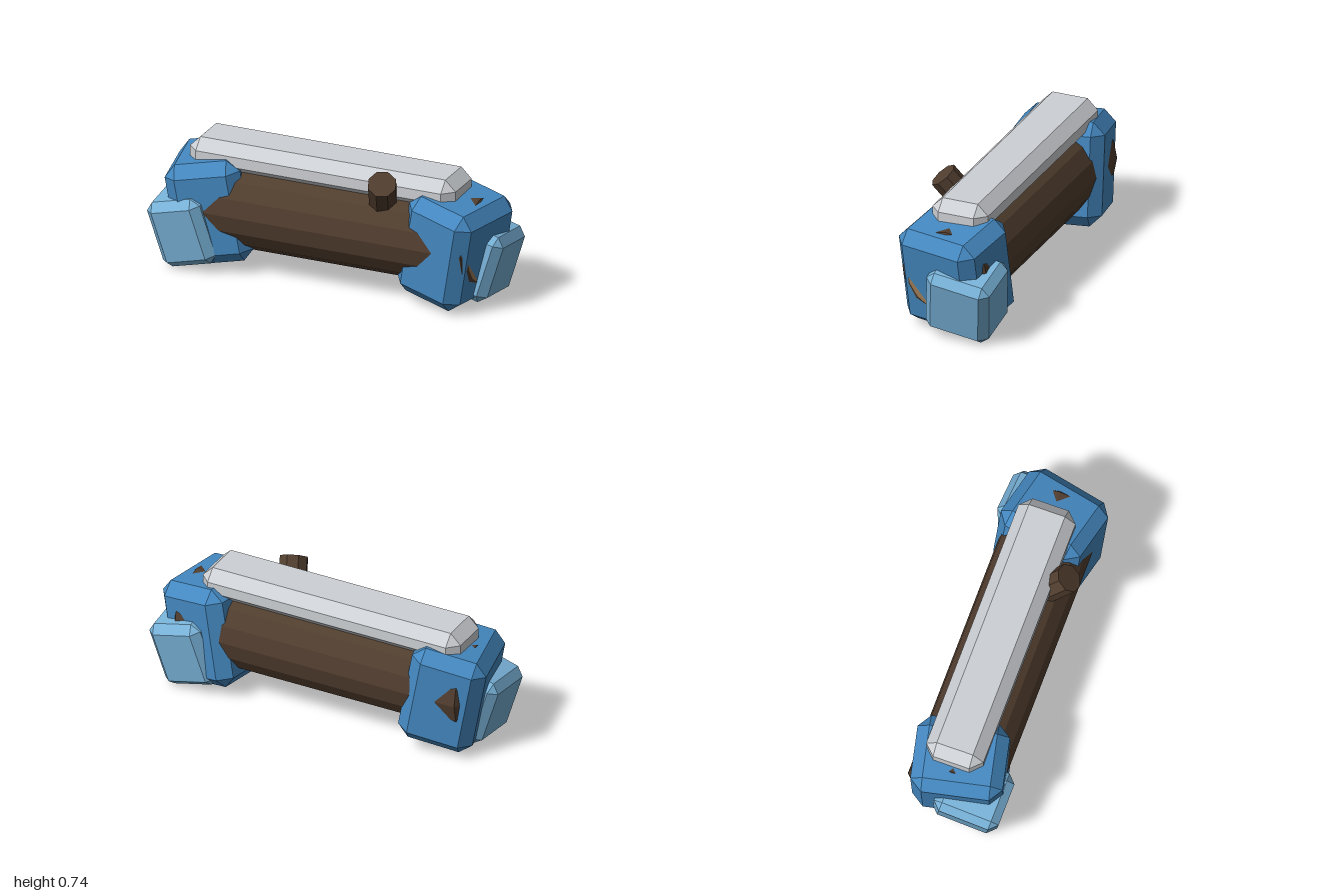
import * as THREE from 'three';
import { ConvexGeometry } from 'three/addons/geometries/ConvexGeometry.js';

const mat = (name, color) => {
  const m = new THREE.MeshStandardMaterial({ color, flatShading: true });
  m.name = name;
  return m;
};

// Box with every edge cut at 45 degrees; a, b, c are half sizes, d the cut
function chamferedBox(a, b, c, d) {
  const points = [];
  for (const x of [-1, 1]) for (const y of [-1, 1]) for (const z of [-1, 1]) {
    points.push(
      new THREE.Vector3(x * a, y * (b - d), z * (c - d)),
      new THREE.Vector3(x * (a - d), y * b, z * (c - d)),
      new THREE.Vector3(x * (a - d), y * (b - d), z * c));
  }
  return new ConvexGeometry(points);
}

export function createModel() {
  const group = new THREE.Group();
  const deg = Math.PI / 180;
  const bark = mat('dark bark', 0x503d2e);
  const wood = mat('cut wood', 0x9c7a56);
  const blue = mat('blue', 0x4488c0);
  const paleBlue = mat('pale blue', 0x78b2d8);
  const grey = mat('light grey', 0xcdd0d4);

  const add = (name, geometry, material, parent = group) => {
    const mesh = new THREE.Mesh(geometry, material);
    mesh.name = name;
    parent.add(mesh);
    return mesh;
  };

  // Log body lying along x, with bevelled ends
  const r = 0.25, rEnd = 0.212, half = 0.875, logY = 0.357, sides = 16;
  const profile = [[rEnd, -half], [r, -half + 0.025], [r, half - 0.025], [rEnd, half]]
    .map(([x, y]) => new THREE.Vector2(x, y));
  const log = add('log', new THREE.LatheGeometry(profile, sides), bark);
  log.rotation.z = -Math.PI / 2;
  log.position.y = logY;

  for (const s of [-1, 1]) {
    const side = s > 0 ? 'left' : 'right';

    // Cut wood face on the log end
    const face = add(side + 'LogEnd', new THREE.CircleGeometry(rEnd, sides), wood);
    face.rotation.y = s * Math.PI / 2;
    face.position.set(s * half, logY, 0);

    // Blue cuff wrapped round the end, toed in and leaning outwards
    const cuff = add(side + 'Cuff', chamferedBox(0.21, 0.29, 0.25, 0.066), blue);
    cuff.rotation.set(0, -s * 12 * deg, -s * 10 * deg);
    cuff.position.set(s * 0.703, s > 0 ? 0.328 : 0.334, 0);

    // Pale pads sit at opposite corners, half a turn apart
    const padPivot = new THREE.Group();
    padPivot.name = side + 'PadPivot';
    padPivot.rotation.y = s > 0 ? 0 : Math.PI;
    const pad = add(side + 'Pad', chamferedBox(0.163, 0.195, 0.186, 0.045), paleBlue, padPivot);
    pad.rotation.set(-7.5 * deg, 0, -15 * deg);
    pad.position.set(0.8, 0.236, -0.105);
    group.add(padPivot);
  }

  // Grey bar along the top
  const bar = add('topBar', chamferedBox(0.783, 0.09, 0.163, 0.06), grey);
  bar.position.set(-0.037, 0.635, -0.015);

  // Branch stub leaning forwards
  const direction = new THREE.Vector3(0.3, 1, 0.76).normalize();
  const length = 0.26;
  const stub = add('branchStub', new THREE.CylinderGeometry(0.08, 0.08, length, 8), bark);
  stub.quaternion.setFromUnitVectors(new THREE.Vector3(0, 1, 0), direction);
  stub.position.set(0.375, 0.698, 0.225).addScaledVector(direction, -length / 2);

  return group;
}
